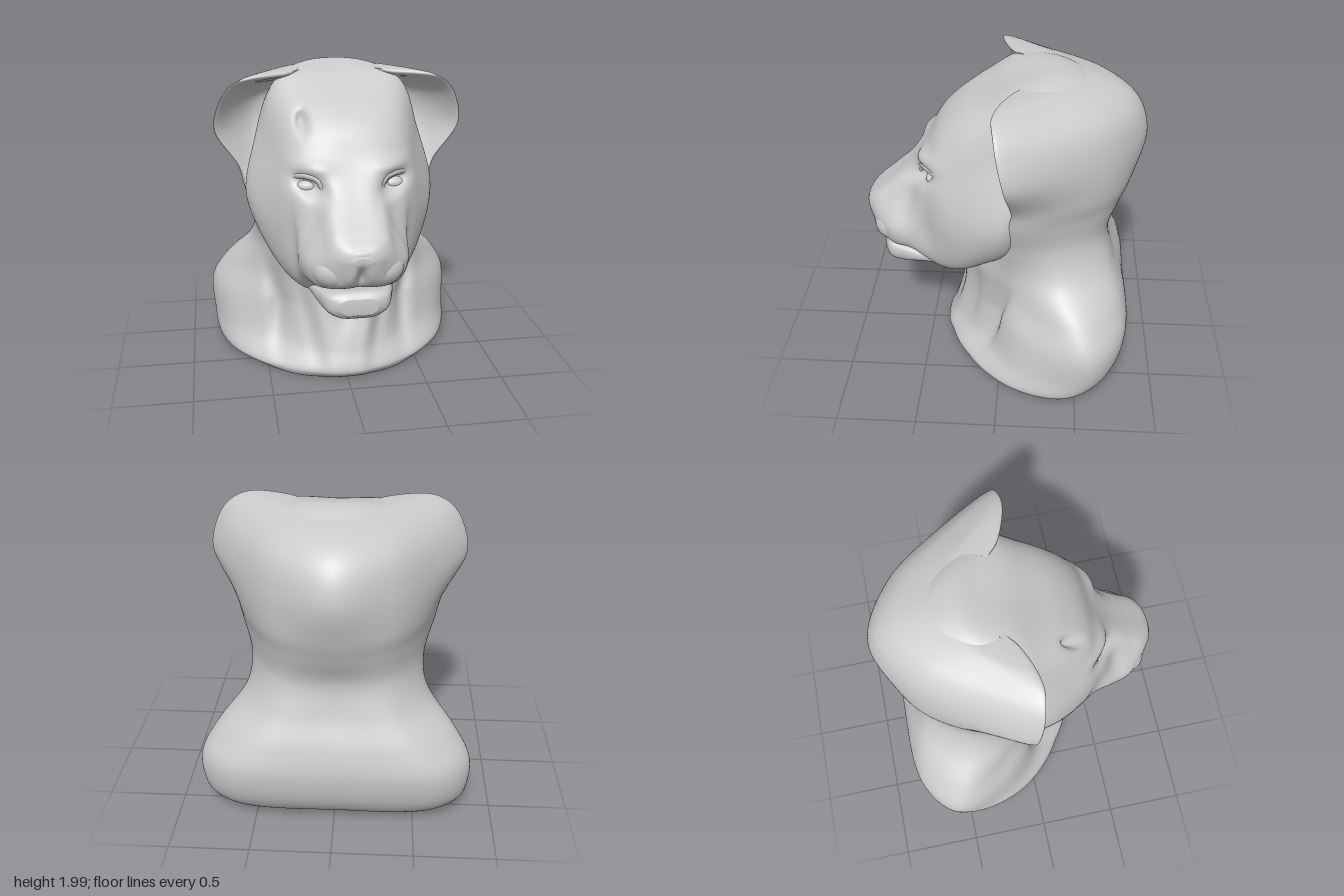
import * as THREE from 'three';

const grey = new THREE.MeshStandardMaterial({ color: 0xcccccc, side: THREE.DoubleSide });
const bump = (d, r) => Math.exp(-(d / r) * (d / r));
const { smoothstep } = THREE.MathUtils;

// Row: [axis, c0, x1,c1, x2,c2, x3,c3, x4,c4, c5] = half outline, mirrored in x.
function ringPoints(row, place) {
  const [a, c0, x1, c1, x2, c2, x3, c3, x4, c4, c5] = row;
  const half = [[x1, c1], [x2, c2], [x3, c3], [x4, c4]];
  const mirrored = half.map(([x, c]) => [-x, c]).reverse();
  return [[0, c0], ...half, [0, c5], ...mirrored].map(([x, c]) => place(x, c, a));
}

// Smooth closed skin through the rows, with an optional rule that moves vertices.
function loft(rows, place, steps, segs, sculpt) {
  const rings = rows.map((r) => ringPoints(r, place));
  const rails = rings[0].map((_, k) => new THREE.CatmullRomCurve3(rings.map((r) => r[k])));
  const pos = [], index = [];
  const ends = [new THREE.Vector3(), new THREE.Vector3()];
  for (let i = 0; i <= steps; i++) {
    const ring = new THREE.CatmullRomCurve3(rails.map((c) => c.getPoint(i / steps)), true);
    for (let j = 0; j < segs; j++) {
      const p = ring.getPoint(j / segs);
      if (sculpt) sculpt(p);
      pos.push(p.x, p.y, p.z);
      if (i === 0) ends[0].addScaledVector(p, 1 / segs);
      if (i === steps) ends[1].addScaledVector(p, 1 / segs);
    }
  }
  for (let i = 0; i < steps; i++) {
    for (let j = 0; j < segs; j++) {
      const a = i * segs + j, b = i * segs + (j + 1) % segs;
      index.push(a, a + segs, b, b, a + segs, b + segs);
    }
  }
  const first = pos.length / 3, top = steps * segs;
  ends.forEach((p) => pos.push(p.x, p.y, p.z));
  for (let j = 0; j < segs; j++) {
    const k = (j + 1) % segs;
    index.push(first, j, k, first + 1, top + k, top + j);
  }
  const g = new THREE.BufferGeometry();
  g.setAttribute('position', new THREE.Float32BufferAttribute(pos, 3));
  g.setIndex(index);
  g.computeVertexNormals();
  return g;
}

export function createModel() {
  const model = new THREE.Group();
  const add = (name, geometry) => {
    const m = new THREE.Mesh(geometry, grey);
    m.name = name;
    model.add(m);
    return m;
  };
  const ball = (name, x, y, z, rx, ry, rz) => {
    const m = add(name, new THREE.SphereGeometry(1, 28, 20));
    m.position.set(x, y, z);
    m.scale.set(rx, ry, rz);
    return m;
  };
  const level = (x, c, a) => new THREE.Vector3(x, a, c);
  const slice = (x, c, a) => new THREE.Vector3(x, c, a);

  // Shoulders and neck, level by level
  const bust = [
    [0.008, -0.52, 0.54, -0.5, 0.7, -0.34, 0.62, -0.05, 0.36, 0.24, 0.34],
    [0.06, -0.66, 0.62, -0.62, 0.8, -0.45, 0.73, -0.1, 0.42, 0.22, 0.385],
    [0.2, -0.77, 0.65, -0.73, 0.835, -0.55, 0.72, -0.15, 0.4, 0.12, 0.34],
    [0.42, -0.82, 0.63, -0.78, 0.843, -0.56, 0.69, -0.19, 0.38, 0.09, 0.285],
    [0.6, -0.79, 0.52, -0.75, 0.745, -0.5, 0.58, -0.16, 0.35, 0.11, 0.275],
    [0.8, -0.71, 0.37, -0.68, 0.57, -0.4, 0.5, -0.07, 0.32, 0.16, 0.28],
    [1.0, -0.68, 0.32, -0.63, 0.51, -0.38, 0.53, -0.06, 0.3, 0.13, 0.25],
  ];
  // Back of the head flaring into cupped ears
  const hood = [
    [1.2, -0.76, 0.32, -0.67, 0.53, -0.38, 0.595, -0.07, 0.4, 0, 0.1],
    [1.35, -0.82, 0.33, -0.71, 0.55, -0.42, 0.635, -0.08, 0.5, -0.14, 0],
    [1.6, -0.88, 0.34, -0.71, 0.6, -0.38, 0.785, -0.04, 0.53, -0.22, -0.05],
    [1.78, -0.83, 0.31, -0.68, 0.57, -0.34, 0.755, 0, 0.5, -0.21, -0.1],
    [1.88, -0.73, 0.28, -0.59, 0.5, -0.3, 0.69, 0.02, 0.44, -0.13, -0.2],
    [1.935, -0.59, 0.22, -0.48, 0.42, -0.24, 0.6, 0.03, 0.36, -0.03, -0.3],
    [1.958, -0.5, 0.16, -0.42, 0.34, -0.25, 0.5, 0, 0.3, -0.06, -0.35],
    [1.965, -0.45, 0.1, -0.42, 0.22, -0.29, 0.36, -0.1, 0.22, -0.16, -0.37],
  ];
  // Throat hollow, slanting neck cords and the furrow before each shoulder
  add('bustAndEars', loft([...bust, ...hood], level, 120, 160, (p) => {
    const x = Math.abs(p.x), y = p.y;
    const front = smoothstep(p.z, 0.06, 0.2) * bump(y - 0.4, 0.27);
    const furrow = 0.42 + 0.2 * Math.max(0, y - 0.45);
    p.z -= 0.045 * front * bump(x, 0.07) * bump(y - 0.48, 0.16);
    p.z += 0.025 * front * bump(x - 0.08 - 0.2 * y, 0.045);
    p.z -= 0.02 * front * bump(x - 0.17 - 0.2 * y, 0.04);
    p.z -= 0.07 * smoothstep(p.z, -0.2, 0) * bump(x - furrow, 0.06) * bump(y - 0.45, 0.27);
  }));

  // Crown, forehead and face from back to front
  const crown = [
    [-0.62, 1.86, 0.08, 1.84, 0.14, 1.75, 0.16, 1.6, 0.1, 1.5, 1.45],
    [-0.5, 1.953, 0.14, 1.925, 0.24, 1.8, 0.28, 1.5, 0.2, 1.3, 1.2],
    [-0.33, 1.999, 0.26, 1.952, 0.41, 1.76, 0.42, 1.35, 0.3, 1.15, 1.1],
    [-0.2, 1.98, 0.33, 1.94, 0.48, 1.7, 0.5, 1.22, 0.38, 1.03, 0.98],
    [-0.05, 1.938, 0.38, 1.905, 0.51, 1.6, 0.6, 1.19, 0.45, 0.93, 0.86],
  ];
  const face = [
    [0.1, 1.868, 0.35, 1.82, 0.485, 1.52, 0.575, 1.13, 0.43, 0.84, 0.76],
    [0.25, 1.79, 0.31, 1.73, 0.44, 1.45, 0.505, 1.08, 0.38, 0.75, 0.67],
    [0.38, 1.68, 0.26, 1.62, 0.39, 1.4, 0.42, 1.06, 0.32, 0.72, 0.64],
    [0.48, 1.51, 0.18, 1.49, 0.32, 1.33, 0.34, 1.05, 0.3, 0.77, 0.7],
    [0.58, 1.37, 0.15, 1.355, 0.24, 1.2, 0.33, 0.98, 0.29, 0.84, 0.81],
    [0.7, 1.25, 0.145, 1.235, 0.215, 1.13, 0.295, 0.97, 0.24, 0.84, 0.82],
    [0.8, 1.165, 0.14, 1.15, 0.185, 1.08, 0.2, 0.97, 0.14, 0.87, 0.86],
    [0.86, 1.11, 0.09, 1.1, 0.12, 1.05, 0.1, 0.99, 0.06, 0.94, 0.93],
    [0.885, 1.065, 0.03, 1.06, 0.05, 1.045, 0.04, 1.03, 0.02, 1.02, 1.015],
  ];
  // Eye sockets, brows, lip groove and one pit in the forehead
  add('head', loft([...crown, ...face], slice, 140, 144, (p) => {
    if (p.z < 0.12) return;
    const x = Math.abs(p.x);
    p.z -= 0.08 * bump(x - 0.25, 0.085) * bump(p.y - 1.375 - 0.25 * (x - 0.25), 0.05);
    p.z += 0.035 * bump(x - 0.23, 0.1) * bump(p.y - 1.485, 0.045);
    p.z -= 0.05 * bump(x, 0.03) * bump(p.y - 0.93, 0.07) * smoothstep(p.z, 0.6, 0.75);
    p.z -= 0.08 * bump(p.x + 0.27, 0.03) * bump(p.y - 1.72, 0.05);
  }));

  // Lower jaw, parted from the upper lip and running back into the throat
  add('lowerJaw', loft([
    [0.15, 0.76, 0.12, 0.755, 0.22, 0.73, 0.22, 0.71, 0.14, 0.69, 0.68],
    [0.32, 0.78, 0.15, 0.775, 0.27, 0.755, 0.27, 0.7, 0.17, 0.65, 0.635],
    [0.5, 0.765, 0.14, 0.765, 0.245, 0.755, 0.25, 0.71, 0.16, 0.65, 0.635],
    [0.65, 0.785, 0.14, 0.79, 0.21, 0.77, 0.21, 0.69, 0.14, 0.63, 0.615],
    [0.74, 0.8, 0.11, 0.795, 0.175, 0.77, 0.175, 0.69, 0.11, 0.64, 0.63],
    [0.78, 0.765, 0.07, 0.765, 0.11, 0.745, 0.11, 0.7, 0.07, 0.67, 0.67],
  ], slice, 44, 56));

  ball('nose', 0, 1.075, 0.81, 0.15, 0.05, 0.07);

  // Paired muzzle pads, eyes and heavy upper lids
  for (const s of [1, -1]) {
    ball('muzzlePad', s * 0.135, 0.945, 0.695, 0.14, 0.12, 0.135);
    ball('eyeball', s * 0.255, 1.36, 0.4, 0.075, 0.042, 0.06);
    const lid = [[0.16, 1.34, 0.5], [0.2, 1.415, 0.485], [0.26, 1.435, 0.455], [0.35, 1.42, 0.37]];
    add('upperLid', new THREE.TubeGeometry(new THREE.CatmullRomCurve3(
      lid.map(([x, y, z]) => new THREE.Vector3(s * x, y, z))), 20, 0.022, 8));
  }
  return model;
}
